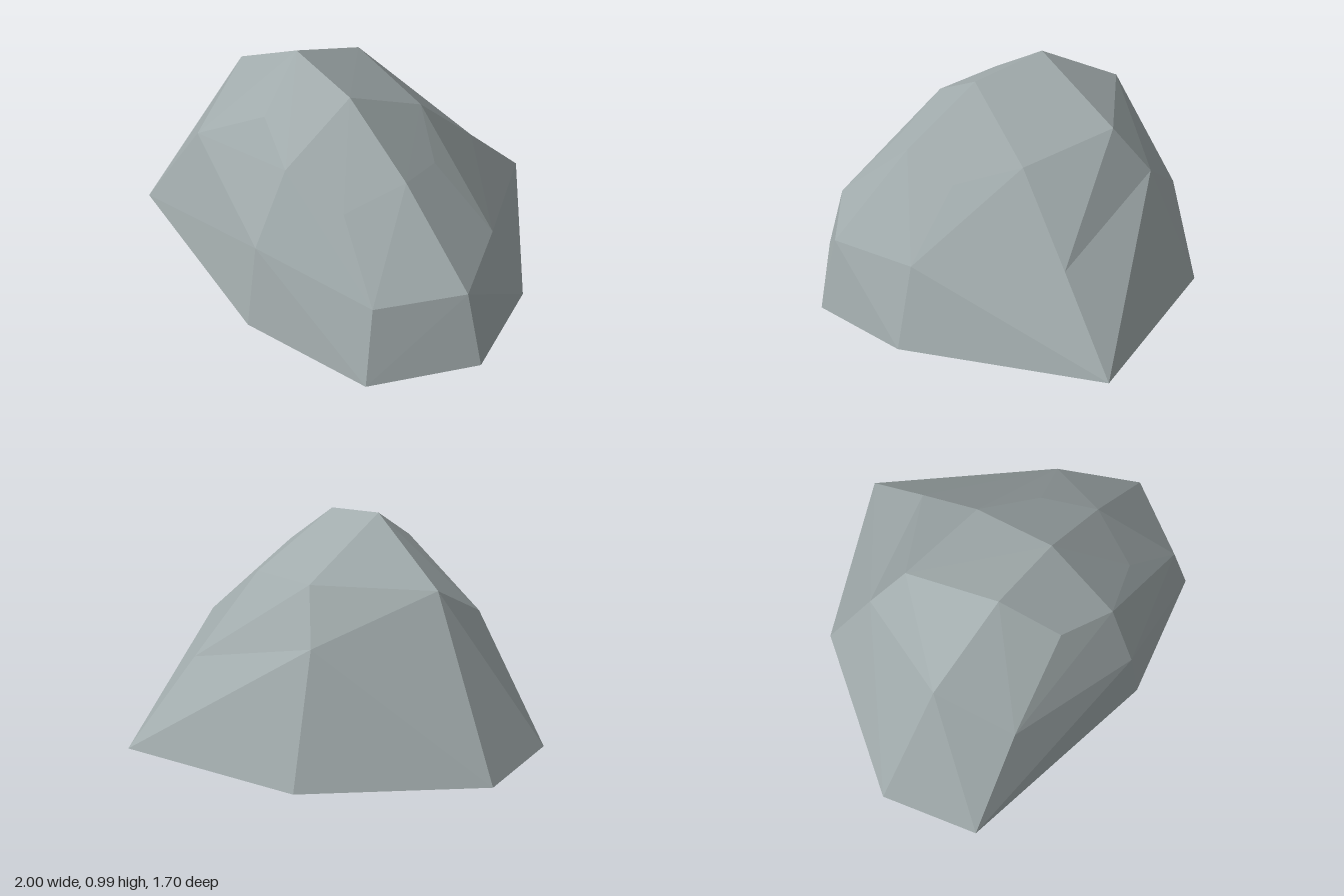
import * as THREE from 'three';

export function createModel() {
  const group = new THREE.Group();
  group.name = 'boulder';

  const stone = new THREE.MeshStandardMaterial({ color: 0xa1abac, flatShading: true });
  stone.name = 'stoneGrey';

  // Cross-sections from the ground up, each running left, front, right, back
  const rings = [
    [[-1, 0, 0.25], [-0.85, 0, 0.69], [0.17, 0, 0.845], [0.77, 0, 0.69],
      [1, 0, 0.25], [0.83, 0, -0.19], [0.17, 0, -0.85], [-0.58, 0, -0.47]],
    [[-0.6, 0.75, 0.25], [-0.48, 0.55, 0.6], [0.155, 0.39, 0.765], [0.71, 0.34, 0.6],
      [0.9, 0.34, 0.25], [0.7, 0.34, -0.1], [0.17, 0.36, -0.5], [-0.43, 0.55, -0.28]],
    [[-0.18, 0.99, 0.25], [-0.08, 0.82, 0.51], [0.17, 0.73, 0.6], [0.43, 0.61, 0.51],
      [0.52, 0.69, 0.25], [0.43, 0.61, 0], [0.17, 0.7, -0.16], [-0.28, 0.77, -0.185]],
  ].map((ring) => ring.map((p) => new THREE.Vector3(...p)));
  const crown = new THREE.Vector3(0.17, 0.93, 0.25);

  const points = [];
  // Splits a facet along the diagonal that bulges outward
  const quad = (a, b, c, d) => {
    const normal = b.clone().sub(a).cross(c.clone().sub(a));
    if (d.clone().sub(a).dot(normal) <= 0) points.push(a, b, c, a, c, d);
    else points.push(a, b, d, b, c, d);
  };

  // Side facets between neighbouring rings
  for (let r = 0; r < 2; r++) {
    for (let i = 0; i < 8; i++) {
      const j = (i + 1) % 8;
      quad(rings[r][i], rings[r][j], rings[r + 1][j], rings[r + 1][i]);
    }
  }
  // Four facets meeting at the crown
  const top = rings[2];
  for (let i = 0; i < 8; i += 2) quad(top[i], top[i + 1], top[(i + 2) % 8], crown);
  // Flat underside
  const base = rings[0];
  for (let i = 1; i < 7; i++) points.push(base[0], base[i + 1], base[i]);

  const geometry = new THREE.BufferGeometry().setFromPoints(points);
  geometry.computeVertexNormals();
  const rock = new THREE.Mesh(geometry, stone);
  rock.name = 'rock';
  group.add(rock);
  return group;
}
